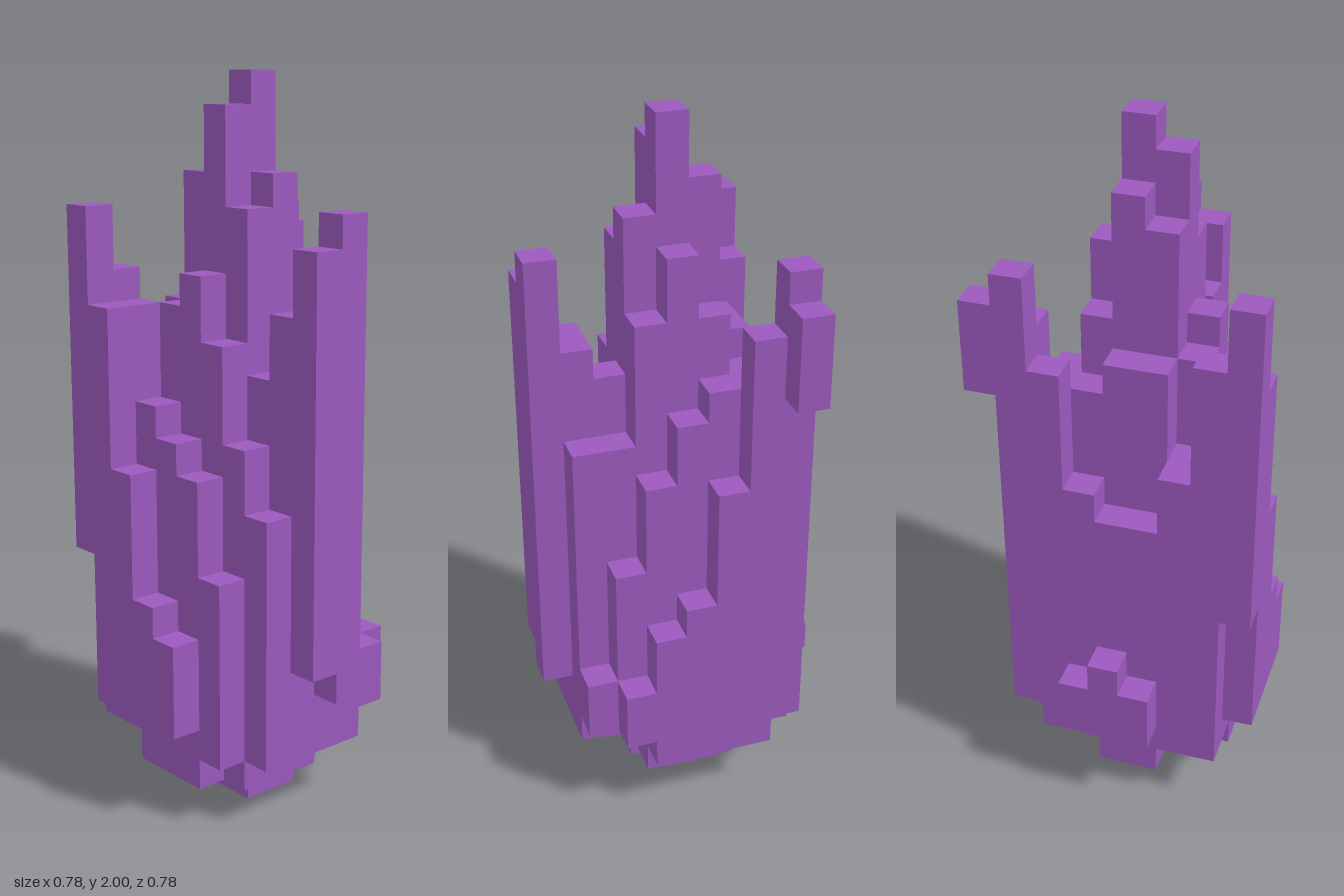
import * as THREE from 'three';

const U = 2 / 23; // edge of one block

// Column tops in blocks: one row per z step from back (-4) to front (4), [first x, tops...]
const TOPS = [
  [-3, 18],
  [-3, 19, 17, 12, 8, 7, 5],
  [-3, 16, 15, 15, 14, 12, 9, 5],
  [-4, 5, 12, 15, 17, 19, 17, 13, 13],
  [-4, 6, 11, 16, 21, 23, 20, 15, 16, 19],
  [-4, 5, 11, 16, 20, 22, 19, 14, 16, 18],
  [-3, 13, 13, 16, 17, 15, 12, 10],
  [-3, 17, 16, 13, 12, 11, 8],
  [-3, 19, 16, 11, 7, 6],
];

// Tapered footing: for each layer, first z row and the x span of each row
const FOOT = [
  { z: -1, spans: [[-1, 0], [-1, 1], [-1, 1]] },
  { z: -2, spans: [[-1, 1], [-2, 1], [-3, 2], [-3, 2], [-2, 2], [-1, 1]] },
  { z: -3, spans: [[-2, 1], [-3, 1], [-3, 3], [-3, 3], [-3, 3], [-3, 3], [-3, 2]] },
];

// Outer columns that start higher up
const OVERHANG = { '-3,-4': 15, '-3,4': 8, '4,0': 4, '4,1': 5, '-4,-1': 4 };

function filled(x, y, z) {
  const row = TOPS[z + 4];
  if (!row || y < 0) return false;
  const n = x - row[0];
  if (n < 0 || n >= row.length - 1 || y >= row[n + 1]) return false;
  if (y < 3) {
    const span = FOOT[y].spans[z - FOOT[y].z];
    return !!span && x >= span[0] && x <= span[1];
  }
  return y >= (OVERHANG[`${x},${z}`] ?? 3);
}

// Which part a block belongs to
function partOf(x, y, z) {
  if (y < 3) return 'footing';
  if (y < 13) return 'crystalBody';
  if (Math.abs(x) <= 1 && Math.abs(z) <= 2) return 'centralSpire';
  return x > 0 ? 'leftSpire' : z > 0 ? 'frontSpire' : 'backSpire';
}

// Face normals with two tangents (u x v = n)
const SIDES = [];
for (let a = 0; a < 3; a++) {
  for (const s of [1, -1]) {
    const n = [0, 0, 0], u = [0, 0, 0], v = [0, 0, 0];
    n[a] = s;
    u[(a + 1) % 3] = s;
    v[(a + 2) % 3] = 1;
    SIDES.push({ n, u, v });
  }
}

export function createModel() {
  const group = new THREE.Group();
  group.name = 'crystalCluster';
  const purple = new THREE.MeshStandardMaterial({ color: 0x9b59bd });
  purple.name = 'amethystPurple';

  // Collect only the exposed block faces of each part
  const parts = {};
  for (let x = -4; x <= 4; x++) for (let z = -4; z <= 4; z++) for (let y = 0; y < 23; y++) {
    if (!filled(x, y, z)) continue;
    const part = (parts[partOf(x, y, z)] ??= { pos: [], nor: [], idx: [] });
    const centre = [x, y + 0.5, z];
    for (const { n, u, v } of SIDES) {
      if (filled(x + n[0], y + n[1], z + n[2])) continue;
      const first = part.pos.length / 3;
      for (const [p, q] of [[-1, -1], [1, -1], [1, 1], [-1, 1]]) {
        part.pos.push(...centre.map((c, i) => (c + (n[i] + p * u[i] + q * v[i]) / 2) * U));
        part.nor.push(...n);
      }
      part.idx.push(first, first + 1, first + 2, first, first + 2, first + 3);
    }
  }

  for (const [name, { pos, nor, idx }] of Object.entries(parts)) {
    const geo = new THREE.BufferGeometry();
    geo.setAttribute('position', new THREE.Float32BufferAttribute(pos, 3));
    geo.setAttribute('normal', new THREE.Float32BufferAttribute(nor, 3));
    geo.setIndex(idx);
    const mesh = new THREE.Mesh(geo, purple);
    mesh.name = name;
    group.add(mesh);
  }
  return group;
}
